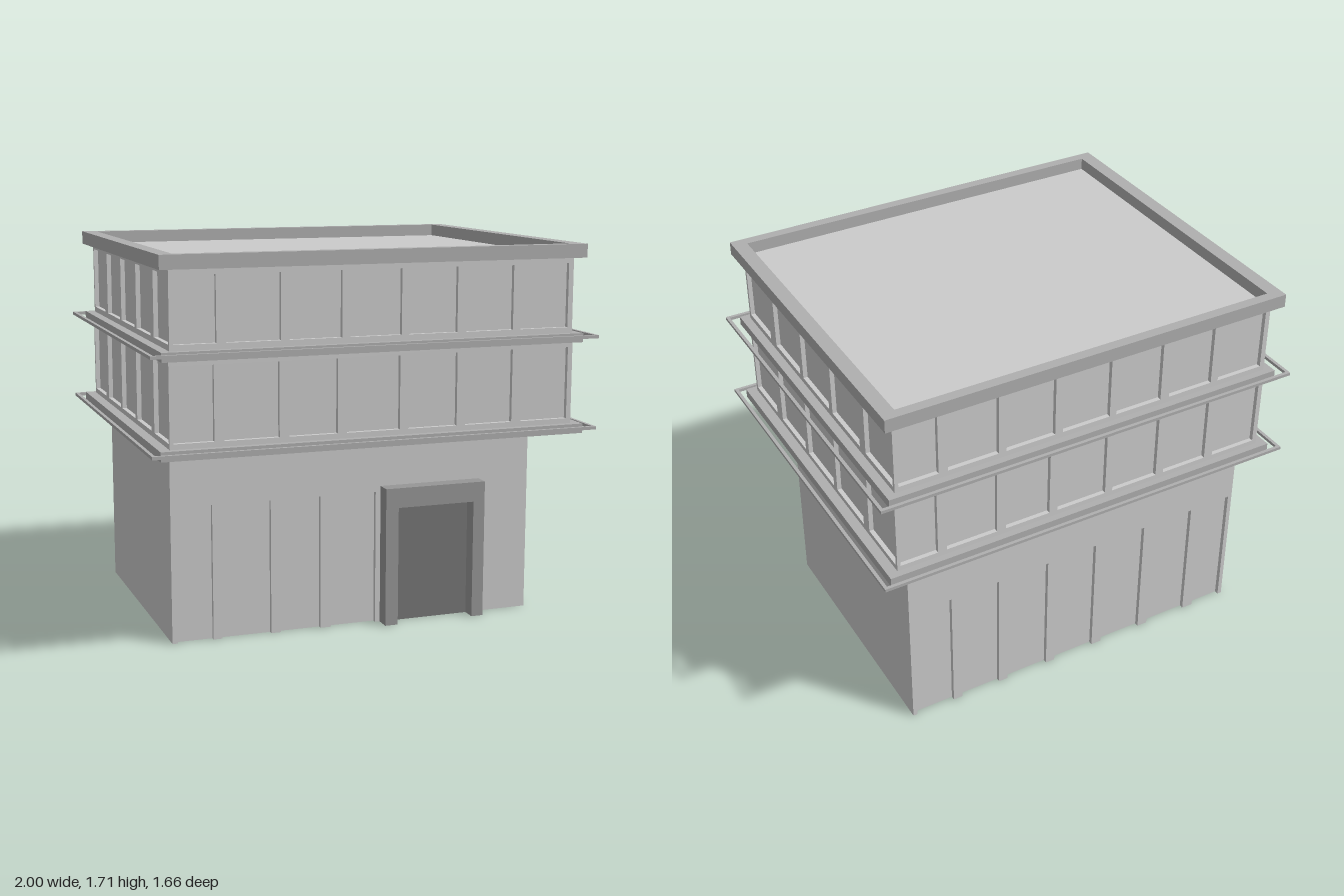
import * as THREE from 'three';
import { mergeGeometries } from 'three/addons/utils/BufferGeometryUtils.js';

const material = (color) =>
  new THREE.MeshStandardMaterial({ color, flatShading: true, side: THREE.DoubleSide });
const WALL = material(0xcccccc);
const TRIM = material(0xafafaf);
const FRAME = material(0x969696);
const DOOR = material(0x767676);
const RECESS = 0.02;

function add(parent, name, geometry, mat, x = 0, y = 0, z = 0) {
  const mesh = new THREE.Mesh(geometry, mat);
  mesh.name = name;
  mesh.position.set(x, y, z);
  parent.add(mesh);
  return mesh;
}

// Shallow tray behind an opening: a box without its front (and bottom, if on the ground)
function tray(a, b, y0, y1, openBottom) {
  const g = new THREE.BoxGeometry(b - a, y1 - y0, RECESS);
  const idx = Array.from(g.index.array);
  const keep = idx.filter((_, i) => !(i >= 24 && i < 30) && !(openBottom && i >= 18 && i < 24));
  g.setIndex(keep.reverse());
  g.computeVertexNormals();
  g.translate((a + b) / 2, (y0 + y1) / 2, -RECESS / 2);
  return g;
}

// Flat wall facing +z with recessed bays [left, right]; bays at the wall's foot become notches
function wall(half, bottom, top, bays, y0, y1, door) {
  const shape = new THREE.Shape();
  const open = y0 === bottom;
  const notches = open ? bays.map(([a, b]) => [a, b, y1]) : [];
  if (door) notches.push(door);
  shape.moveTo(-half, bottom);
  for (const [a, b, h] of notches) {
    shape.lineTo(a, bottom);
    shape.lineTo(a, h);
    shape.lineTo(b, h);
    shape.lineTo(b, bottom);
  }
  shape.lineTo(half, bottom);
  shape.lineTo(half, top);
  shape.lineTo(-half, top);
  shape.closePath();
  if (!open) {
    for (const [a, b] of bays) {
      shape.holes.push(new THREE.Path([
        new THREE.Vector2(a, y0), new THREE.Vector2(a, y1),
        new THREE.Vector2(b, y1), new THREE.Vector2(b, y0),
      ]));
    }
  }
  const parts = [new THREE.ShapeGeometry(shape)];
  for (const [a, b] of bays) parts.push(tray(a, b, y0, y1, open));
  return mergeGeometries(parts);
}

// Horizontal rectangular ring, resting on y = 0
function ring(x, z, band, height) {
  const rect = (T, hx, hz) => new T([
    new THREE.Vector2(-hx, -hz), new THREE.Vector2(hx, -hz),
    new THREE.Vector2(hx, hz), new THREE.Vector2(-hx, hz),
  ]);
  const shape = rect(THREE.Shape, x, z);
  shape.holes.push(rect(THREE.Path, x - band[0], z - band[1]));
  return new THREE.ExtrudeGeometry(shape, { depth: height, bevelEnabled: false })
    .rotateX(-Math.PI / 2);
}

export function createModel() {
  const model = new THREE.Group();
  model.name = 'building';

  // Ground floor, an open-bottomed shell set back at the front
  const ground = new THREE.Group();
  ground.name = 'groundFloor';
  model.add(ground);
  const gx = 0.845, front = 0.48, back = -0.71, gTop = 0.88;
  const frontBays = [[-0.82, -0.66], [-0.62, -0.395], [-0.35, -0.165], [-0.115, 0.097]];
  const backBays = [[-0.825, -0.64], [-0.595, -0.405], [-0.36, -0.155], [-0.11, 0.095],
    [0.145, 0.355], [0.405, 0.615], [0.67, 0.825]];
  add(ground, 'frontWall', wall(gx, 0, gTop, frontBays, 0, 0.605, [0.18, 0.545, 0.54]),
    WALL, 0, 0, front);
  add(ground, 'backWall', wall(gx, 0, gTop, backBays, 0, 0.605), WALL, 0, 0, back)
    .rotation.y = Math.PI;
  for (const s of [-1, 1]) {
    add(ground, s > 0 ? 'leftWall' : 'rightWall', wall((front - back) / 2, 0, gTop, [], 0.1, 0.2),
      WALL, s * gx, 0, (front + back) / 2).rotation.y = s * Math.PI / 2;
  }

  // Doorway: projecting frame and dark door
  const portal = new THREE.Shape([
    [0.12, 0], [0.18, 0], [0.18, 0.54], [0.545, 0.54],
    [0.545, 0], [0.6, 0], [0.6, 0.63], [0.12, 0.63],
  ].map(([x, y]) => new THREE.Vector2(x, y)));
  add(ground, 'doorFrame',
    new THREE.ExtrudeGeometry(portal, { depth: 0.07, bevelEnabled: false }), FRAME, 0, 0, front);
  add(ground, 'door', new THREE.PlaneGeometry(0.365, 0.54), DOOR, 0.3625, 0.27, front + 0.003);

  // Two upper storeys with recessed windows on all sides
  const sideBays = [[-0.745, -0.503], [-0.44, -0.172], [-0.138, 0.135], [0.169, 0.44], [0.494, 0.745]];
  const storeys = [
    { hx: 0.91, y: [0.91, 1.29], win: [0.94, 1.258],
      bays: [[-0.895, -0.722], [-0.68, -0.442], [-0.4, -0.186], [-0.146, 0.095],
        [0.132, 0.359], [0.399, 0.62], [0.663, 0.888]] },
    { hx: 0.905, y: [1.31, 1.66], win: [1.345, 1.625],
      bays: [[-0.888, -0.709], [-0.666, -0.434], [-0.397, -0.167], [-0.13, 0.1],
        [0.132, 0.356], [0.399, 0.618], [0.655, 0.882]] },
  ];
  const hz = 0.76;
  storeys.forEach(({ hx, y, win, bays }, i) => {
    const storey = new THREE.Group();
    storey.name = i ? 'upperStorey' : 'middleStorey';
    model.add(storey);
    for (const turn of [0, 1]) {
      const long = wall(hx, ...y, bays, ...win);
      const short = wall(hz, ...y, sideBays, ...win);
      const s = turn ? -1 : 1;
      add(storey, turn ? 'backWall' : 'frontWall', long, WALL, 0, 0, s * hz)
        .rotation.y = turn * Math.PI;
      add(storey, turn ? 'rightWall' : 'leftWall', short, WALL, s * hx, 0, 0)
        .rotation.y = s * Math.PI / 2;
    }
  });

  // Floor slabs, each with a slim rail running around it
  for (const [y, h, hx] of [[0.875, 0.042, 0.955], [1.28, 0.04, 0.945]]) {
    add(model, 'floorSlab', new THREE.BoxGeometry(hx * 2, h, 1.58), TRIM, 0, y + h / 2, 0);
    add(model, 'slabRail', ring(1, 0.83, [0.015, 0.015], 0.014), TRIM, 0, y + 0.02, 0);
  }

  // Flat roof inside a parapet
  add(model, 'parapet', ring(0.95, 0.797, [0.065, 0.047], 0.06), TRIM, 0, 1.65, 0);
  add(model, 'roof', new THREE.BoxGeometry(1.78, 0.01, 1.51), WALL, 0, 1.65, 0);

  return model;
}
